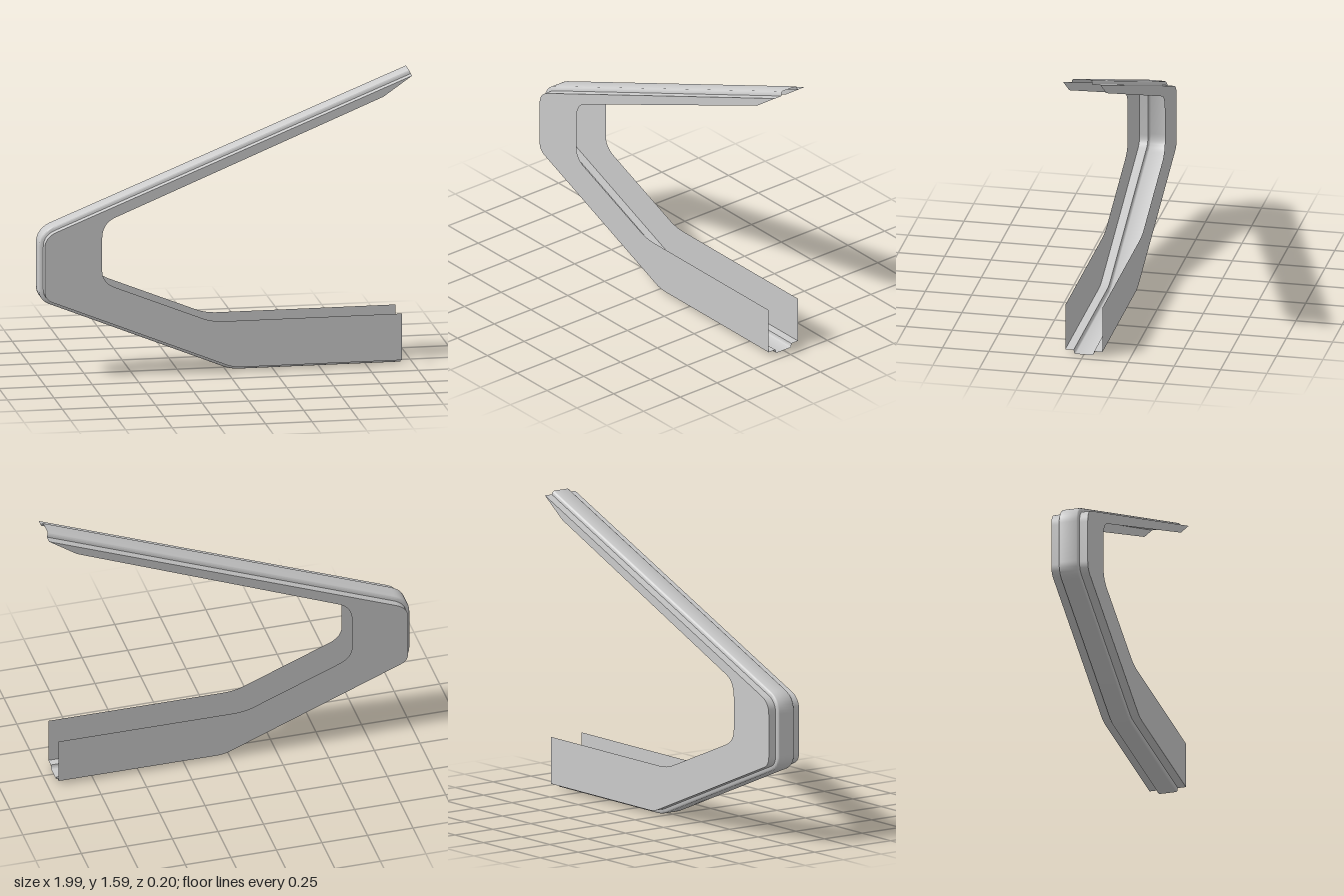
import * as THREE from 'three';
import { toCreasedNormals } from 'three/addons/utils/BufferGeometryUtils.js';

const V = (x, y) => new THREE.Vector2(x, y);

// Points of a rounded bend from a to b around corner c
function bend(a, c, b, n = 10) {
  return new THREE.QuadraticBezierCurve(V(...a), V(...c), V(...b)).getPoints(n);
}

// Path of the bead's outer face: arm, heel, slope, foot
const spine = [
  V(0.985, 1.588),
  ...bend([-0.92, 0.82], [-1, 0.788], [-1, 0.71]),
  ...bend([-1, 0.48], [-1, 0.42], [-0.945, 0.397]),
  ...bend([-0.01, 0.016], [0.03, 0], [0.08, 0]),
  V(0.94, 0),
];

// Matching path of the free edge of the side walls
const lip = [
  V(0.84, 1.46),
  ...bend([-0.6, 0.865], [-0.67, 0.836], [-0.67, 0.75]),
  ...bend([-0.67, 0.58], [-0.67, 0.513], [-0.6, 0.485]),
  ...bend([-0.13, 0.295], [-0.08, 0.275], [-0.01, 0.275]),
  V(0.94, 0.275),
];

// Inward normal at each point of the spine
const inward = spine.map((p, i) => {
  const t = V(0, 0);
  if (i > 0) t.add(p.clone().sub(spine[i - 1]).normalize());
  if (i < spine.length - 1) t.add(spine[i + 1].clone().sub(p).normalize());
  t.normalize();
  return V(-t.y, t.x);
});

// A sheet swept along the path through section points [z, depth];
// depth 'lip' means the free edge of the wall
function sweep(name, section, material) {
  const at = (i, [z, d]) => {
    const p = d === 'lip' ? lip[i] : spine[i].clone().addScaledVector(inward[i], d);
    return [p.x, p.y, z];
  };
  const pos = [];
  for (let i = 0; i < spine.length - 1; i++) {
    for (let j = 0; j < section.length - 1; j++) {
      const a = at(i, section[j]), b = at(i + 1, section[j]);
      const c = at(i + 1, section[j + 1]), d = at(i, section[j + 1]);
      pos.push(...a, ...c, ...b, ...a, ...d, ...c);
    }
  }
  const geo = new THREE.BufferGeometry();
  geo.setAttribute('position', new THREE.Float32BufferAttribute(pos, 3));
  const mesh = new THREE.Mesh(toCreasedNormals(geo, 0.6), material);
  mesh.name = name;
  return mesh;
}

export function createModel() {
  const group = new THREE.Group();
  group.name = 'bentChannel';
  const material = new THREE.MeshStandardMaterial({ color: 0xcccccc, side: THREE.DoubleSide });

  const depth = 0.022; // height of the bead above the flanges
  const half = [[0.055, depth], [0.053, 0.008], [0.05, 0.003], [0.044, 0]];
  const bead = [...half.map(([z, d]) => [-z, d]), ...half.slice().reverse()];

  // Raised bead along the middle of the web
  group.add(sweep('bead', bead, material));

  // Flange and side wall on each side
  group.add(sweep('backFlange', [[-0.1, depth], [-0.055, depth]], material));
  group.add(sweep('frontFlange', [[0.055, depth], [0.1, depth]], material));
  group.add(sweep('backWall', [[-0.1, 'lip'], [-0.1, depth]], material));
  group.add(sweep('frontWall', [[0.1, depth], [0.1, 'lip']], material));
  return group;
}
